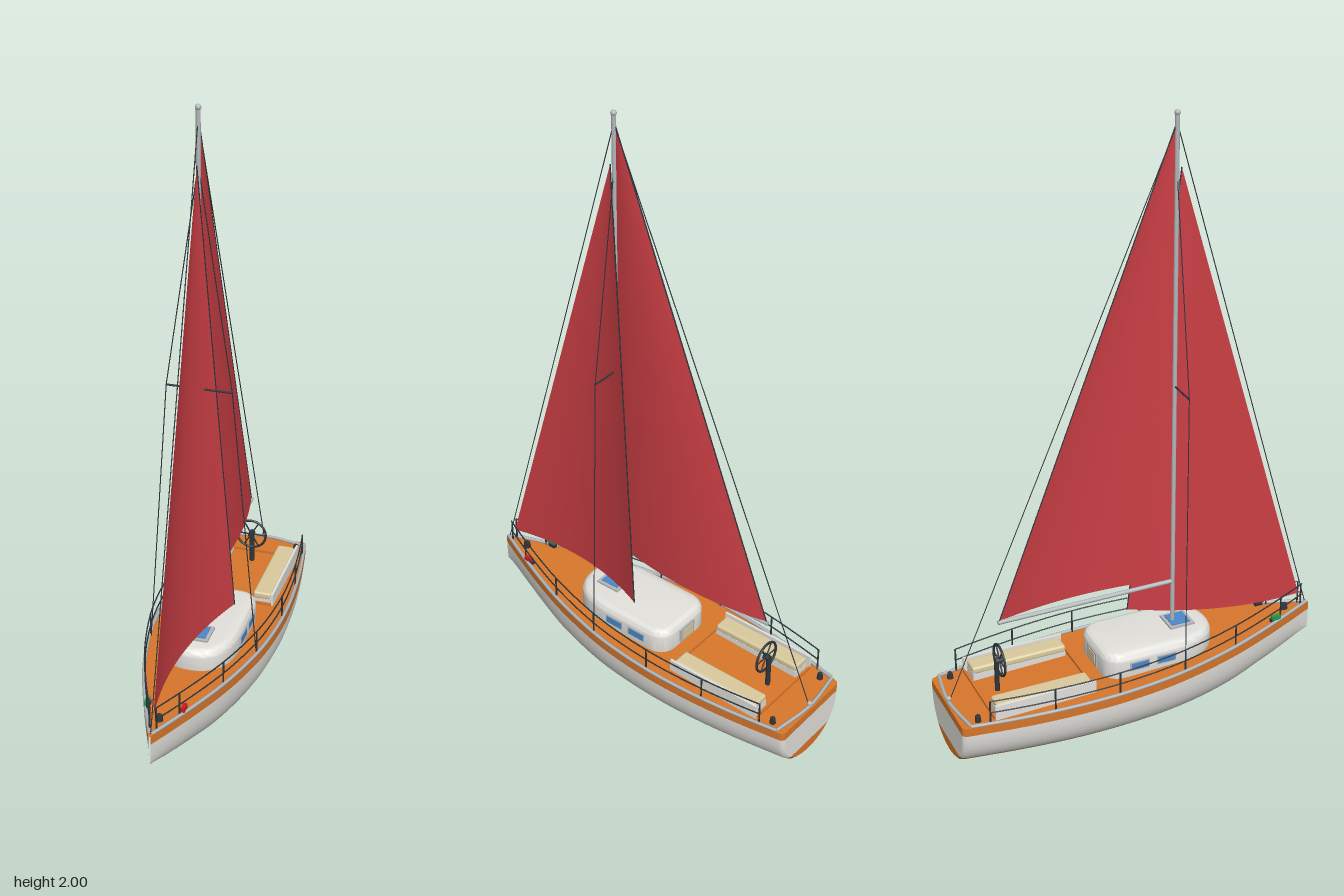
import * as THREE from 'three';
import { toCreasedNormals } from 'three/addons/utils/BufferGeometryUtils.js';
import { RoundedBoxGeometry } from 'three/addons/geometries/RoundedBoxGeometry.js';

const paint = (name, color, side = THREE.FrontSide) => {
  const m = new THREE.MeshStandardMaterial({ color, side });
  m.name = name;
  return m;
};
const V = (x, y, z) => new THREE.Vector3(x, y, z);

// Surface from rows of points; rowMat picks the material of each row
function grid(rows, cols, point, rowMat = () => 0) {
  const pos = [], idx = [], g = new THREE.BufferGeometry();
  for (let i = 0; i < rows; i++) for (let j = 0; j < cols; j++) pos.push(...point(i, j));
  for (let i = 0; i < rows - 1; i++) {
    g.addGroup(idx.length, (cols - 1) * 6, rowMat(i));
    for (let j = 0; j < cols - 1; j++) {
      const a = i * cols + j, b = a + cols;
      idx.push(a, b, b + 1, a, b + 1, a + 1);
    }
  }
  g.setAttribute('position', new THREE.Float32BufferAttribute(pos, 3));
  g.setIndex(idx);
  g.computeVertexNormals();
  return g;
}

export function createModel() {
  const boat = new THREE.Group();
  boat.name = 'sailboat';
  const orange = paint('orange wood', 0xd9772b);
  const white = paint('hull white', 0xe2e1dc);
  const red = paint('sail red', 0xcc3f45, THREE.DoubleSide);
  const dark = paint('dark fittings', 0x2e363c);
  const steel = paint('keel grey', 0x555c62);
  const metal = paint('aluminium', 0xb4b8ba);
  const cream = paint('cushion cream', 0xdaca9e);
  const blue = paint('window blue', 0x4a8acb);
  const lampRed = paint('lamp red', 0xc81e1e);
  const lampGreen = paint('lamp green', 0x1f9a4a);

  const add = (name, geo, mat, x = 0, y = 0, z = 0) => {
    const m = new THREE.Mesh(geo, mat);
    m.name = name;
    m.position.set(x, y, z);
    boat.add(m);
    return m;
  };
  const box = (name, mat, w, h, d, x, y, z) => add(name, new THREE.BoxGeometry(w, h, d), mat, x, y, z);
  const rod = (name, mat, a, b, r, sides = 6) => {
    const m = add(name, new THREE.CylinderGeometry(r, r, a.distanceTo(b), sides), mat);
    m.position.copy(a).lerp(b, 0.5);
    m.quaternion.setFromUnitVectors(V(0, 1, 0), b.clone().sub(a).normalize());
    return m;
  };
  const tube = (name, mat, pts, r, n = 48) =>
    add(name, new THREE.TubeGeometry(new THREE.CatmullRomCurve3(pts), n, r, 6), mat);

  // Hull lines from bow to stern: half beam, keel height, z
  const lines = new THREE.CatmullRomCurve3([
    V(0.003, 0.17, 0.63), V(0.046, 0.13, 0.53), V(0.09, 0.098, 0.42), V(0.132, 0.068, 0.3),
    V(0.166, 0.05, 0.17), V(0.188, 0.043, 0.05), V(0.2, 0.04, -0.12), V(0.195, 0.04, -0.28),
    V(0.178, 0.044, -0.44), V(0.15, 0.05, -0.61)]).getPoints(54);
  lines.push(V(0.147, 0.053, -0.62), V(0.138, 0.06, -0.626));
  const sheer = z => 0.226 + 0.042 * Math.pow(Math.max(0, z + 0.63) / 1.26, 1.3);
  const beam = z => {
    const i = Math.max(1, lines.findIndex(p => p.z <= z)), a = lines[i - 1], b = lines[i];
    return THREE.MathUtils.mapLinear(z, a.z, b.z, a.x, b.x);
  };

  // Section rows: a stripe, the topsides, then the painted bottom
  const N = 8, HALF = 1 + 2 * N, WATER = 0.095;
  const section = (row, p) => {
    const top = sheer(p.z), stripe = top - 0.028, water = Math.max(WATER, p.y);
    const ease = (lo, hi, t) => lo + (hi - lo) * (1 - t) ** 2;
    const y = row === 0 ? top : row <= N + 1 ? ease(water, stripe, (row - 1) / N)
      : ease(p.y, water, (row - 1 - N) / N);
    const d = Math.min(1, (top - y) / (top - p.y));
    return [p.x * Math.sqrt(Math.max(0, 1 - d ** 3)), y, p.z];
  };
  const band = r => (r === 0 ? 0 : r <= N ? 1 : 2);
  const hullMats = [orange, white, orange];
  add('hull', grid(2 * HALF + 1, lines.length, (i, j) => {
    const [x, y, z] = section(i <= HALF ? i : 2 * HALF - i, lines[j]);
    return [i <= HALF ? x : -x, y, z];
  }, i => band(i < HALF ? i : 2 * HALF - 1 - i)), hullMats);
  const last = lines[lines.length - 1];
  add('transom', grid(HALF + 1, 2, (i, j) => {
    const [x, y, z] = section(i, last);
    return [j ? -x : x, y, z];
  }, band), hullMats);
  add('deck', grid(lines.length, 2, (i, j) => {
    const p = lines[i];
    return [j ? -p.x : p.x, sheer(p.z), p.z];
  }), orange);

  // Toe rails
  const edge = (s, z, lift, inset = 0.004) => V(s * Math.max(0, beam(z) - inset), sheer(z) + lift, z);
  const span = (a, b, n) => Array.from({ length: n + 1 }, (_, i) => a + (b - a) * i / n);
  for (const s of [1, -1]) tube('toeRail', metal, span(0.622, -0.6, 24).map(z => edge(s, z, 0.004)), 0.006, 60);
  tube('sternRail', metal, [edge(1, -0.6, 0.004), V(0, 0.234, -0.62), edge(-1, -0.6, 0.004)], 0.006, 16);

  // Cabin trunk
  const plan = new THREE.Shape();
  plan.moveTo(-0.055, 0.115);
  plan.lineTo(0.055, 0.115);
  plan.quadraticCurveTo(0.093, 0.115, 0.093, 0.07);
  plan.lineTo(0.093, -0.1);
  plan.bezierCurveTo(0.09, -0.19, 0.06, -0.23, 0, -0.23);
  plan.bezierCurveTo(-0.06, -0.23, -0.09, -0.19, -0.093, -0.1);
  plan.lineTo(-0.093, 0.07);
  plan.quadraticCurveTo(-0.093, 0.115, -0.055, 0.115);
  const cabin = new THREE.ExtrudeGeometry(plan, {
    depth: 0.085, bevelSize: 0.025, bevelThickness: 0.025, bevelSegments: 5, curveSegments: 14 });
  cabin.rotateX(-Math.PI / 2);
  add('cabin', toCreasedNormals(cabin, 0.7), white, 0, 0.21, 0);
  box('hatchFrame', metal, 0.084, 0.008, 0.084, 0, 0.322, 0.153);
  box('hatchGlass', blue, 0.062, 0.008, 0.062, 0, 0.325, 0.153);
  box('doorFrame', metal, 0.07, 0.05, 0.006, 0, 0.27, -0.141);
  box('door', cream, 0.052, 0.036, 0.008, 0, 0.27, -0.142);
  for (const s of [1, -1]) for (const z of [-0.03, 0.06]) {
    box('windowFrame', metal, 0.004, 0.03, 0.066, s * 0.118, 0.275, z);
    box('cabinWindow', blue, 0.006, 0.022, 0.058, s * 0.1185, 0.275, z);
  }

  // Cockpit benches and coamings
  for (const s of [1, -1]) {
    box('coaming', white, 0.008, 0.05, 0.33, s * 0.142, 0.252, -0.355);
    box('benchBase', white, 0.056, 0.025, 0.31, s * 0.106, 0.24, -0.355);
    add('benchCushion', new RoundedBoxGeometry(0.058, 0.024, 0.312, 3, 0.008), cream, s * 0.106, 0.262, -0.355);
  }
  for (const z of [-0.52, -0.19]) box('cockpitSill', orange, 0.28, 0.012, 0.006, 0, sheer(z) + 0.003, z);

  // Steering wheel on a pedestal
  rod('wheelPedestal', dark, V(0, 0.23, -0.46), V(0, 0.335, -0.46), 0.008, 10);
  add('wheelRim', new THREE.TorusGeometry(0.05, 0.004, 8, 32), dark, 0, 0.337, -0.45);
  const hub = add('wheelHub', new THREE.CylinderGeometry(0.01, 0.01, 0.022, 12), dark, 0, 0.337, -0.453);
  hub.rotation.x = Math.PI / 2;
  for (let i = 0; i < 3; i++) {
    const c = Math.cos(i * Math.PI / 3) * 0.05, d = Math.sin(i * Math.PI / 3) * 0.05;
    rod('wheelSpoke', dark, V(-c, 0.337 - d, -0.45), V(c, 0.337 + d, -0.45), 0.0025);
  }

  // Mast, boom and spreaders
  const MZ = 0.135;
  rod('mast', metal, V(0, 0.25, MZ), V(0, 1.985, MZ), 0.007, 14);
  add('mastCap', new THREE.SphereGeometry(0.009, 14, 10), metal, 0, 1.991, MZ);
  rod('boom', metal, V(0, 0.472, MZ), V(0, 0.472, -0.45), 0.007, 12);
  rod('spreaders', dark, V(-0.1, 1.15, MZ), V(0.1, 1.15, MZ), 0.003);

  // Standing rigging
  rod('forestay', dark, V(0, 0.27, 0.618), V(0, 1.96, MZ), 0.0016);
  rod('backstay', dark, V(0, 0.23, -0.618), V(0, 1.96, MZ), 0.0016);
  for (const s of [1, -1]) {
    rod('lowerShroud', dark, V(s * 0.172, 0.24, 0.1), V(s * 0.1, 1.15, MZ), 0.0016);
    rod('upperShroud', dark, V(s * 0.1, 1.15, MZ), V(0, 1.83, MZ), 0.0016);
  }

  // Sails: a triangle with belly across its width, finished with a leech cord
  const sail = (name, tack, clew, head, belly) => {
    const at = (u, v) => {
      const p = tack.clone().lerp(clew, u).lerp(head, v);
      p.x += belly * 4 * u * (1 - u) * (1 - v);
      return p;
    };
    add(name, grid(25, 17, (i, j) => at(j / 16, i / 24).toArray()), [red]);
    rod(name + 'Leech', dark, clew, head, 0.002);
  };
  sail('mainsail', V(0, 0.48, 0.128), V(0, 0.477, -0.445), V(0, 1.95, 0.128), 0.032);
  sail('jib', V(0, 0.31, 0.592), V(0.075, 0.355, 0.012), V(0, 1.83, 0.15), -0.046);

  // Guard rails with stanchions
  for (const s of [1, -1]) {
    for (const z of [0.595, 0.5, 0.3, 0.1, -0.13, -0.34, -0.54])
      rod('stanchion', dark, edge(s, z, 0, 0.008), edge(s, z, 0.08, 0.008), 0.003);
    for (const h of [0.04, 0.08])
      tube('guardRail', dark, span(0.6, -0.54, 20).map(z => edge(s, z, h, 0.008)), 0.0022, 50);
    add('sternWinch', new THREE.CylinderGeometry(0.008, 0.01, 0.02, 14), dark, s * 0.125, 0.237, -0.57);
    box('lampBase', dark, 0.014, 0.012, 0.026, s * 0.056, 0.268, 0.475);
    box('bowLamp', s > 0 ? lampRed : lampGreen, 0.012, 0.014, 0.03, s * 0.057, 0.278, 0.48);
  }
  add('bowWinch', new THREE.CylinderGeometry(0.01, 0.013, 0.02, 14), dark, 0, 0.272, 0.54);
  add('sternLamp', new THREE.SphereGeometry(0.008, 12, 8), metal, 0, 0.243, -0.618);

  // Keel fin, rudder and propeller
  const fin = (name, w, h, d, y, z) => {
    const g = new THREE.SphereGeometry(1, 24, 14);
    g.scale(w, h, d);
    add(name, g, steel, 0, y, z);
  };
  fin('keel', 0.018, 0.04, 0.14, 0.04, 0);
  add('rudder', new RoundedBoxGeometry(0.014, 0.045, 0.055, 3, 0.007), steel, 0, 0.037, -0.54);
  rod('propellerShaft', steel, V(0, 0.05, -0.41), V(0, 0.038, -0.447), 0.004, 8);
  for (let i = 0; i < 3; i++) {
    const blade = box('propellerBlade', orange, 0.008, 0.018, 0.003, 0, 0.038, -0.444);
    blade.rotation.z = i * Math.PI * 2 / 3;
    blade.translateY(0.009);
  }
  return boat;
}
